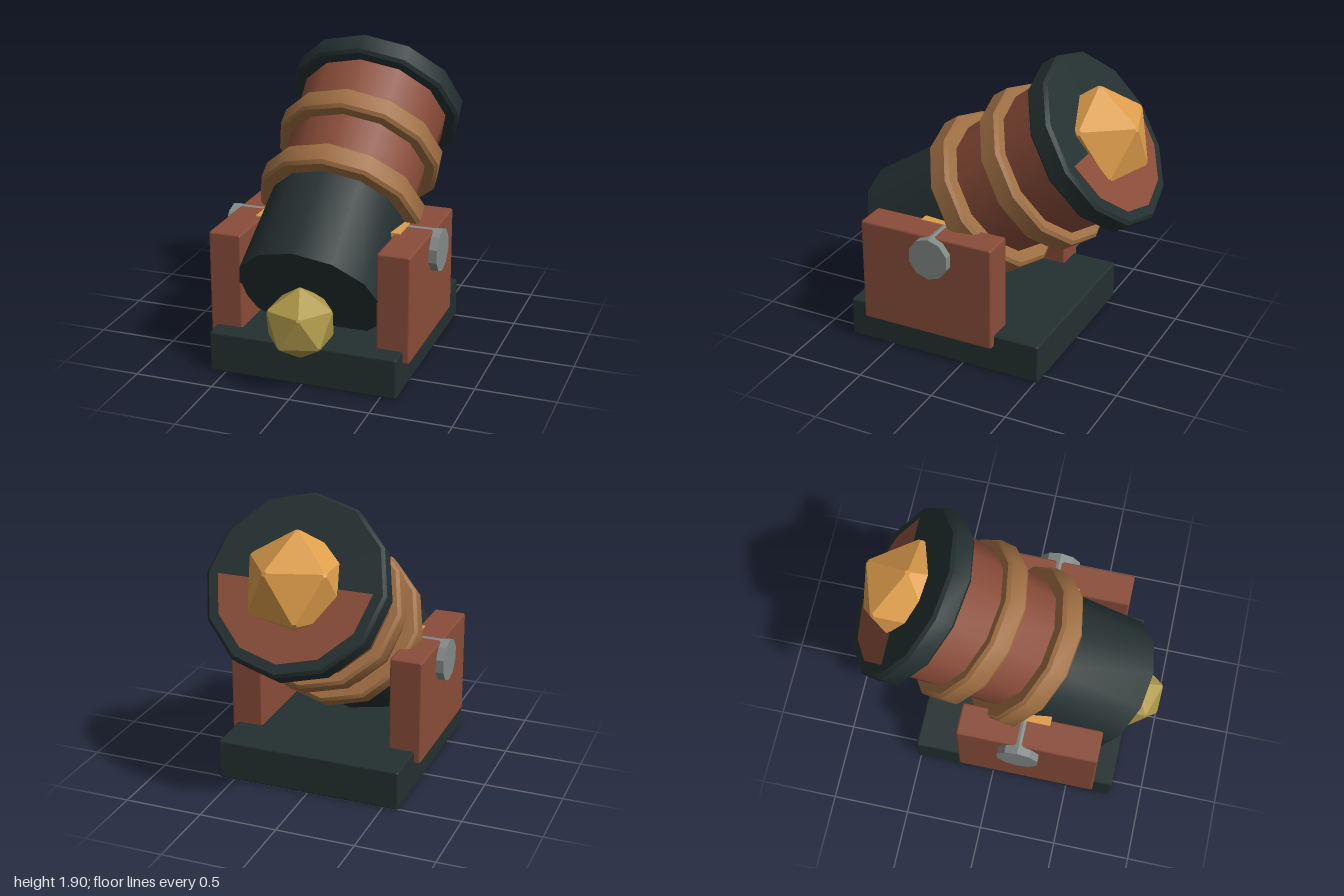
import * as THREE from 'three';
import { toCreasedNormals } from 'three/addons/utils/BufferGeometryUtils.js';
import { RoundedBoxGeometry } from 'three/addons/geometries/RoundedBoxGeometry.js';
import { ConvexGeometry } from 'three/addons/geometries/ConvexGeometry.js';

const material = (name, color) => {
  const m = new THREE.MeshStandardMaterial({ color });
  m.name = name;
  return m;
};

function add(parent, name, geometry, mat, x = 0, y = 0, z = 0) {
  const mesh = new THREE.Mesh(geometry, mat);
  mesh.name = name;
  mesh.position.set(x, y, z);
  parent.add(mesh);
  return mesh;
}

// Twelve-sided solid from a profile of [radius, height], bottom to top
function turned(profile) {
  const points = profile.map(([r, h]) => new THREE.Vector2(r, h));
  return toCreasedNormals(new THREE.LatheGeometry(points, 12), 0.65);
}

// Band with chamfered rims
function band(r, h0, h1, c = 0.02) {
  return turned([[0, h0], [r - c, h0], [r, h0 + c], [r, h1 - c], [r - c, h1], [0, h1]]);
}

// Icosahedron standing on a corner, with its corners clipped slightly
function facetedBall(radius) {
  const corners = [new THREE.Vector3(0, 1, 0), new THREE.Vector3(0, -1, 0)];
  for (let i = 0; i < 5; i++) {
    const a = (i * Math.PI * 2) / 5;
    const x = Math.cos(a) * 0.8944, z = Math.sin(a) * 0.8944;
    corners.push(new THREE.Vector3(x, 0.4472, z), new THREE.Vector3(-x, -0.4472, -z));
  }
  const points = [];
  for (const a of corners) {
    for (const b of corners) {
      const d = a.distanceTo(b);
      if (d > 0.1 && d < 1.2) points.push(a.clone().lerp(b, 0.06).multiplyScalar(radius));
    }
  }
  return new ConvexGeometry(points);
}

export function createModel() {
  const red = material('red brown', 0x8a4d3a);
  const dark = material('dark iron', 0x243030);
  const bronze = material('bronze', 0x9e6e42);
  const orange = material('orange gold', 0xdd9d4b);
  const olive = material('olive gold', 0xae984a);
  const grey = material('grey steel', 0x828a88);

  const model = new THREE.Group();
  model.name = 'mortar';

  // Carriage: base slab, side walls and trunnion
  add(model, 'base', new RoundedBoxGeometry(1.2, 0.26, 1.32, 1, 0.015), dark, 0, 0.13, 0.14);
  for (const side of [-1, 1]) {
    add(model, side > 0 ? 'leftWall' : 'rightWall',
      new RoundedBoxGeometry(0.21, 0.685, 0.9, 1, 0.015), red, side * 0.535, 0.522, 0.228);
    add(model, side > 0 ? 'leftBearing' : 'rightBearing',
      new THREE.BoxGeometry(0.06, 0.27, 0.2), orange, side * 0.44, 0.737, 0.245);
  }
  const trunnion = new THREE.CylinderGeometry(0.135, 0.135, 1.38, 10);
  trunnion.rotateZ(Math.PI / 2).rotateX(Math.PI / 2);
  trunnion.rotateX(Math.PI);
  add(model, 'trunnion', toCreasedNormals(trunnion, 0.3), grey, 0, 0.735, 0.18);

  // Barrel, built upright from the breech and then tilted back
  const barrel = new THREE.Group();
  barrel.name = 'barrel';
  barrel.position.set(0, 0.52, 0.65);
  barrel.rotation.x = THREE.MathUtils.degToRad(-55);
  model.add(barrel);
  add(barrel, 'breech', turned([[0, 0], [0.455, 0], [0.43, 0.7], [0, 0.7]]), dark);
  add(barrel, 'tube', turned([[0, 0.7], [0.425, 0.7], [0.485, 1.5], [0, 1.5]]), red);
  add(barrel, 'lowerBand', band(0.527, 0.62, 0.775), bronze);
  add(barrel, 'upperBand', band(0.535, 1.05, 1.2), bronze);
  add(barrel, 'muzzleRing', band(0.565, 1.47, 1.622), dark);
  // Lower half of the muzzle face
  add(barrel, 'muzzlePlate',
    new THREE.CylinderGeometry(0.485, 0.485, 0.008, 6, 1, false, Math.PI / 2, Math.PI), red, 0, 1.623, 0);

  // Shot in the muzzle and knob at the breech
  add(model, 'shot', facetedBall(0.34), orange, 0, 1.425, -0.62);
  add(model, 'breechKnob', facetedBall(0.23), olive, 0, 0.412, 0.803);

  return model;
}
